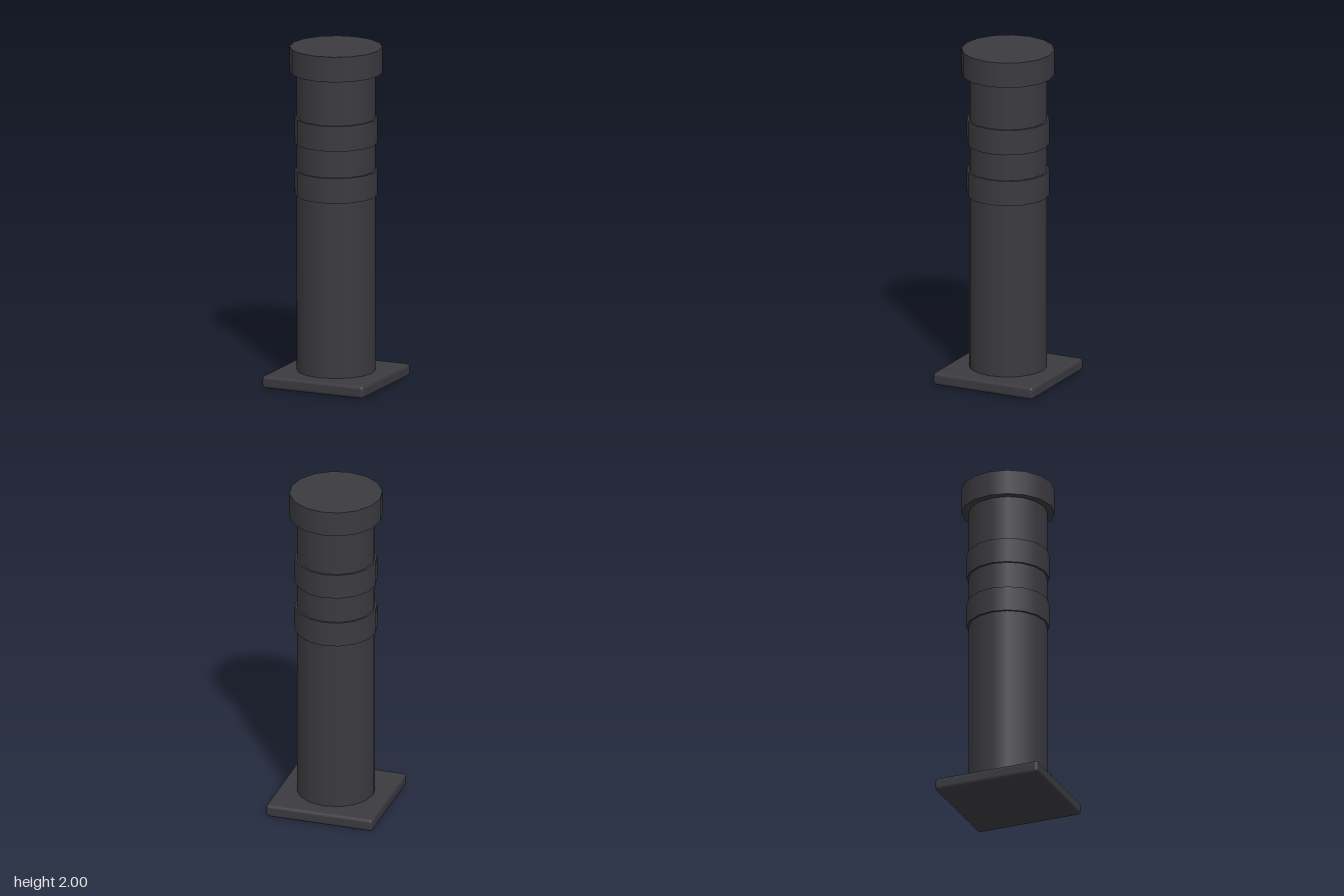
import * as THREE from 'three';
import { RoundedBoxGeometry } from 'three/addons/geometries/RoundedBoxGeometry.js';

export function createModel() {
  const group = new THREE.Group();
  const charcoal = new THREE.MeshStandardMaterial({ color: 0x3a3a3f });
  charcoal.name = 'charcoal';

  const add = (name, geometry, y) => {
    const mesh = new THREE.Mesh(geometry, charcoal);
    mesh.name = name;
    mesh.position.y = y;
    group.add(mesh);
  };

  // Closed upright drum between two heights
  const drum = (name, radius, bottom, top, sides = 16) =>
    add(name, new THREE.CylinderGeometry(radius, radius, top - bottom, sides), (bottom + top) / 2);

  // Square foot plate with softened edges
  add('basePlate', new RoundedBoxGeometry(0.65, 0.075, 0.65, 2, 0.02), 0.0375);

  // Post, its two collars and the head
  drum('shaft', 0.228, 0.06, 1.86);
  drum('lowerBand', 0.24, 1.12, 1.27);
  drum('upperBand', 0.24, 1.43, 1.58);
  drum('cap', 0.27, 1.85, 2.0);

  return group;
}
